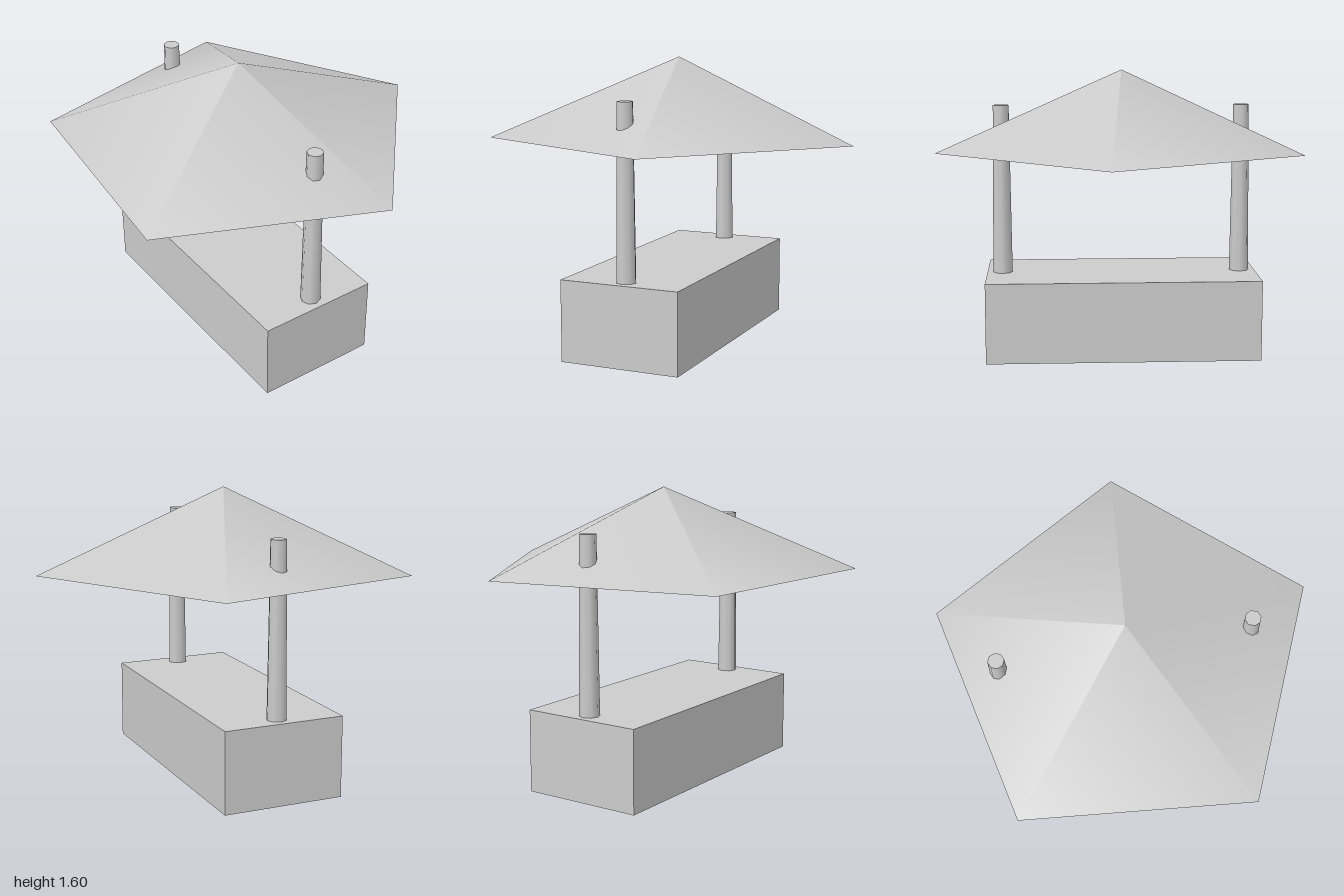
import * as THREE from 'three';

const CX = -0.035, CZ = 0.068; // shared centre of base, posts and roof apex

export function createModel() {
  const group = new THREE.Group();
  const material = new THREE.MeshStandardMaterial({ color: 0xcccccc });

  const add = (name, geometry, x, y, z) => {
    const mesh = new THREE.Mesh(geometry, material);
    mesh.name = name;
    mesh.position.set(x, y, z);
    group.add(mesh);
  };

  // Solid counter block
  add('base', new THREE.BoxGeometry(1.525, 0.45, 0.68), CX, 0.225, CZ + 0.006);

  // Tapered posts that poke through the roof
  for (const [name, side] of [['leftPost', 1], ['rightPost', -1]]) {
    add(name, new THREE.CylinderGeometry(0.044, 0.055, 0.96, 8), CX + side * 0.675, 0.92, CZ);
  }

  // Five-sided roof, turned off-axis, smooth shaded with a flat underside
  const turn = THREE.MathUtils.degToRad(30.4);
  add('roof', new THREE.ConeGeometry(1.052, 0.44, 5, 1, false, turn), CX, 1.375, CZ);

  return group;
}
